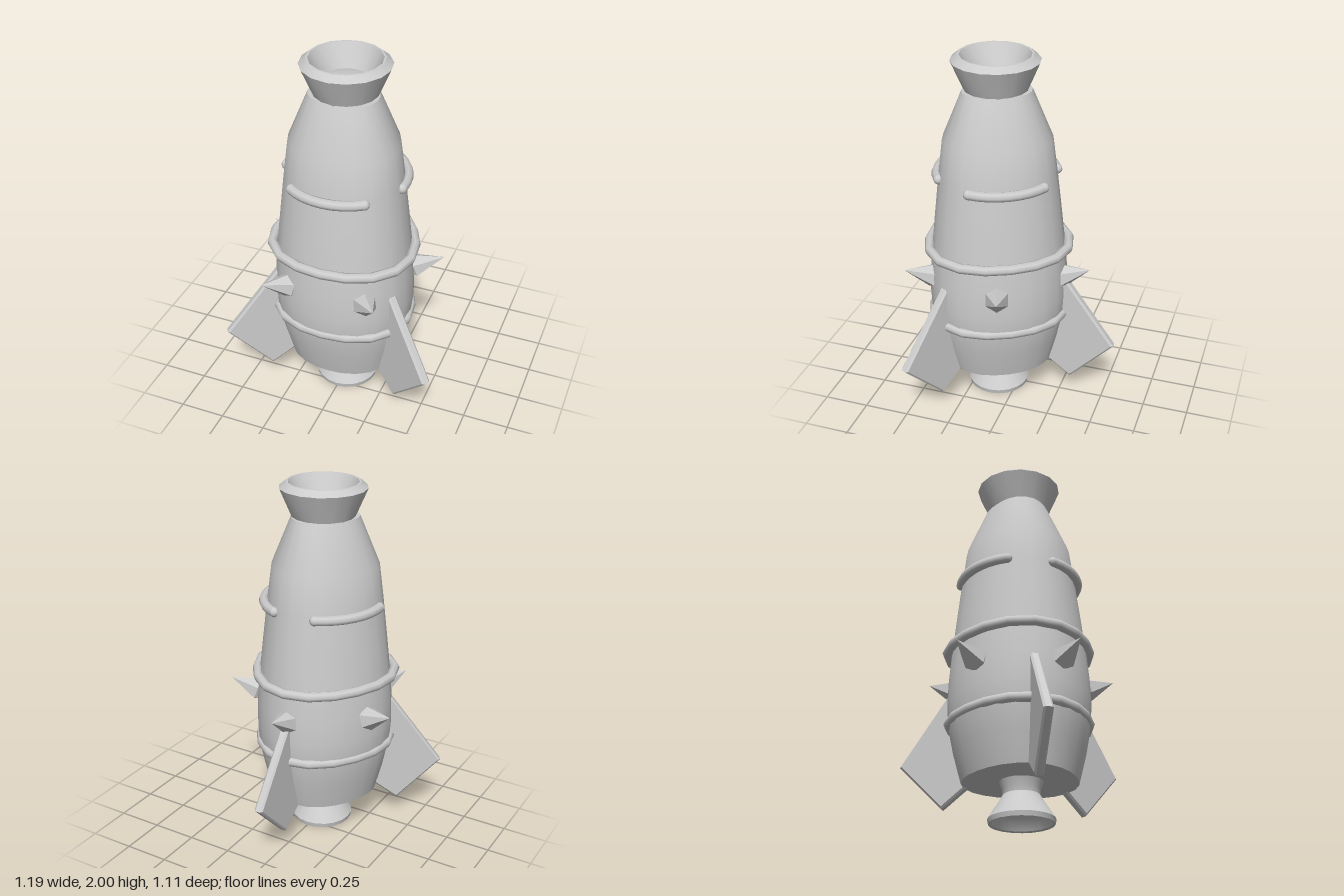
import * as THREE from 'three';
import { toCreasedNormals } from 'three/addons/utils/BufferGeometryUtils.js';

const TAU = Math.PI * 2;
const grey = new THREE.MeshStandardMaterial({ color: 0xcccccc });
grey.name = 'plain grey';

// Rounded-triangle radius: bulges towards the three fins
const triRadius = (r, bulge, a) => r - bulge * Math.cos(3 * a);

function lathe(points, segments, crease, bulge = 0) {
  const geo = new THREE.LatheGeometry(points.map(([r, y]) => new THREE.Vector2(r, y)), segments);
  const p = geo.attributes.position;
  for (let i = 0; bulge && i < p.count; i++) {
    const x = p.getX(i), z = p.getZ(i), r = Math.hypot(x, z);
    if (r < 0.01) continue;
    const k = triRadius(r, bulge, Math.atan2(x, z)) / r;
    p.setX(i, x * k);
    p.setZ(i, z * k);
  }
  return toCreasedNormals(geo, crease);
}

// Points around the hull between two angles
function hullCurve(r, bulge, from, to, n, closed) {
  const pts = [];
  for (let i = 0; i < (closed ? n : n + 1); i++) {
    const a = from + (to - from) * i / n, q = triRadius(r, bulge, a);
    pts.push(new THREE.Vector3(Math.sin(a) * q, 0, Math.cos(a) * q));
  }
  return new THREE.CatmullRomCurve3(pts, closed);
}

export function createModel() {
  const model = new THREE.Group();
  model.name = 'rocket';
  const rocket = new THREE.Group();
  rocket.name = 'rocketParts';
  rocket.position.z = 0.12;
  model.add(rocket);

  const add = (name, geo, y = 0, angle = 0) => {
    const mesh = new THREE.Mesh(geo, grey);
    mesh.name = name;
    mesh.position.y = y;
    mesh.rotation.y = angle;
    rocket.add(mesh);
    return mesh;
  };

  // Hull
  add('hull', lathe([
    [0, 0.22], [0.303, 0.22], [0.345, 0.38], [0.375, 0.53], [0.381, 0.65], [0.376, 0.78],
    [0.364, 0.92], [0.342, 1.12], [0.314, 1.36], [0.288, 1.56], [0.18, 1.82], [0, 1.82],
  ], 24, 0.5, 0.013));

  // Open collar on top, with a shallow domed floor
  add('topCollar', lathe([
    [0, 1.80], [0.168, 1.815], [0.234, 1.97], [0.198, 2.0], [0.187, 2.0],
    [0.125, 1.88], [0.07, 1.895], [0, 1.9],
  ], 16, 0.5));

  // Exhaust bell, hollow underneath
  add('exhaustBell', lathe([
    [0, 0.12], [0.07, 0.105], [0.125, 0.065], [0.155, 0.005], [0.17, 0], [0.175, 0.025],
    [0.12, 0.11], [0.096, 0.15], [0.1, 0.18], [0.118, 0.23], [0, 0.23],
  ], 20, 0.6));

  // Hoops around the hull
  for (const [name, y, r] of [['upperHoop', 0.945, 0.382], ['lowerHoop', 0.535, 0.369]]) {
    add(name, new THREE.TubeGeometry(hullCurve(r, 0.019, 0, TAU, 18, true), 18, 0.027, 8, true), y);
  }

  // Three short curved ribs between the fins
  const ribCurve = hullCurve(0.322, 0.003, -0.66, 0.66, 8, false);
  const ribGeo = new THREE.TubeGeometry(ribCurve, 8, 0.027, 8);
  const capGeo = new THREE.SphereGeometry(0.027, 10, 8);
  for (let i = 0; i < 3; i++) {
    const rib = add('rib', ribGeo, 1.35, i * TAU / 3);
    for (const t of [0, 1]) {
      const cap = new THREE.Mesh(capGeo, grey);
      cap.name = 'ribEnd';
      cap.position.copy(ribCurve.getPoint(t));
      rib.add(cap);
    }
  }

  // Five faceted spikes, tilted slightly upwards
  const spikeGeo = lathe([[0, -0.07], [0.068, 0], [0, 0.168]], 6, 0.05);
  spikeGeo.rotateX(Math.PI / 2);
  spikeGeo.rotateX(-0.36);
  spikeGeo.translate(0, 0, 0.373);
  for (let i = 0; i < 5; i++) add('spike', spikeGeo, 0.77, Math.PI + i * TAU / 5);

  // Three kite-shaped fins with small bevels
  const outline = new THREE.Shape([
    [0.2, 0.28], [0.3, 0.23], [0.435, 0.13], [0.668, 0.37], [0.365, 0.785], [0.2, 0.785],
  ].map(([r, y]) => new THREE.Vector2(r, y)));
  const finGeo = new THREE.ExtrudeGeometry(outline, {
    depth: 0.03, bevelEnabled: true, bevelThickness: 0.01, bevelSize: 0.01, bevelSegments: 1,
  });
  finGeo.translate(0, 0, -0.015);
  finGeo.rotateY(-Math.PI / 2);
  for (let i = 0; i < 3; i++) add('fin', finGeo, 0, Math.PI + i * TAU / 3);

  return model;
}
